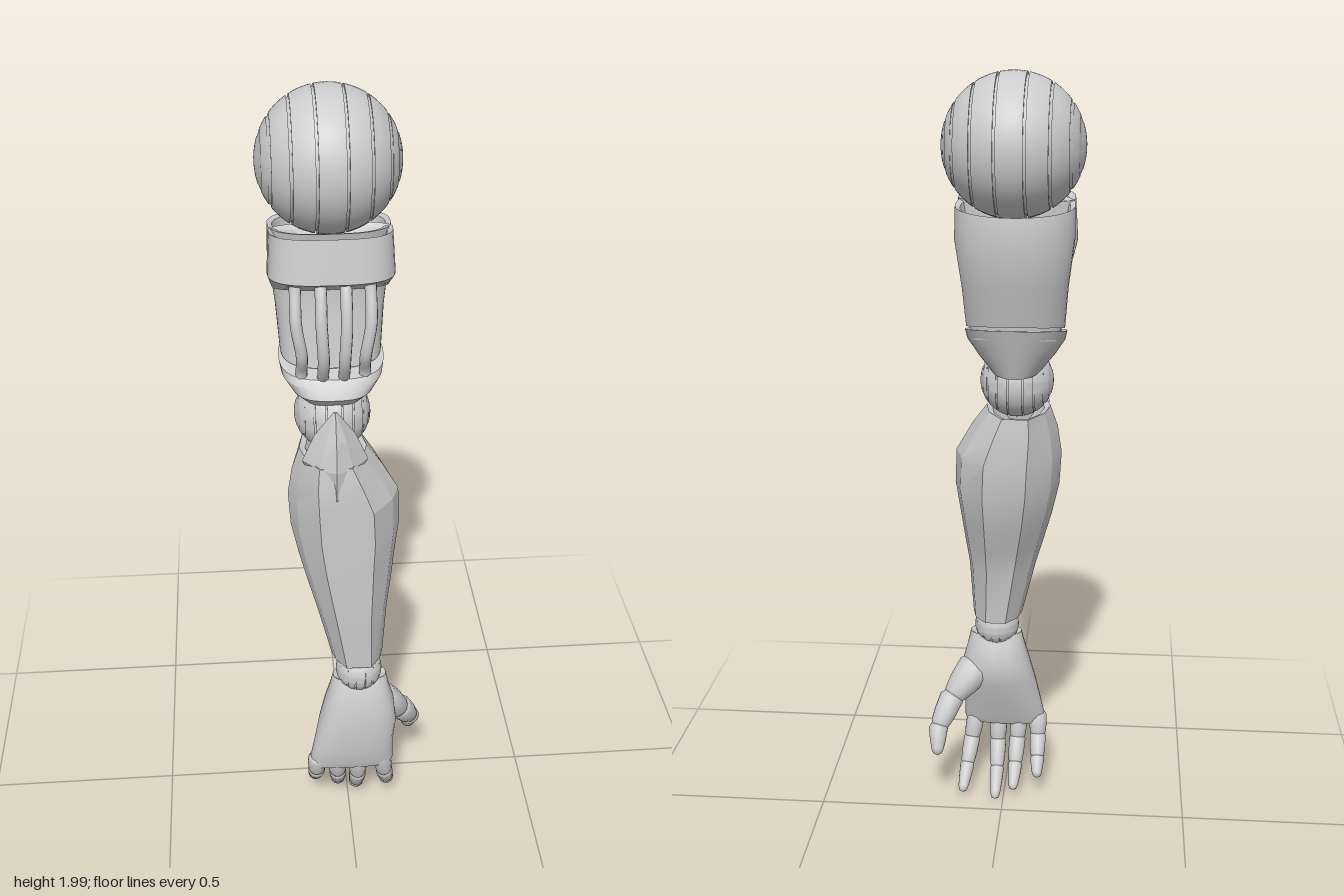
import * as THREE from 'three';
import { toCreasedNormals, mergeVertices } from 'three/addons/utils/BufferGeometryUtils.js';

const material = new THREE.MeshStandardMaterial({ color: 0xcccccc, side: THREE.DoubleSide });
const CX = -0.036; // axis of the upper arm

function addMesh(parent, name, geometry) {
  const mesh = new THREE.Mesh(geometry, material);
  mesh.name = name;
  parent.add(mesh);
  return mesh;
}

// Skin a stack of equal-length rings (bottom to top) and close both ends.
function loft(rings, crease = 0.5) {
  const n = rings[0].length, pos = [], idx = [];
  rings.forEach(r => r.forEach(p => pos.push(...p)));
  for (let i = 0; i < rings.length - 1; i++) {
    for (let j = 0; j < n; j++) {
      const a = i * n + j, b = i * n + (j + 1) % n;
      idx.push(a, b, b + n, a, b + n, a + n);
    }
  }
  [0, rings.length - 1].forEach((i, top) => {
    const c = pos.length / 3;
    pos.push(...[0, 1, 2].map(k => rings[i].reduce((s, p) => s + p[k] / n, 0)));
    for (let j = 0; j < n; j++) {
      const a = i * n + j, b = i * n + (j + 1) % n;
      top ? idx.push(c, a, b) : idx.push(c, b, a);
    }
  });
  const g = new THREE.BufferGeometry();
  g.setAttribute('position', new THREE.Float32BufferAttribute(pos, 3));
  g.setIndex(idx);
  return toCreasedNormals(g, crease);
}

// Tilted rounded ring; a squareness below 1 gives fuller corners at the front.
function ring({ x = CX, w, front, back, yf, yb = yf, mid = (front + back) / 2, sq = 0.7, n = 40 }) {
  return Array.from({ length: n }, (_, i) => {
    const a = i / n * Math.PI * 2, c = Math.cos(a), s = Math.sin(a);
    const e = s < 0 ? sq : 1;
    const px = x + w * Math.sign(c) * Math.abs(c) ** e;
    const z = s < 0 ? mid + (front - mid) * Math.abs(s) ** e : mid - (mid - back) * s;
    return [px, yb + (yf - yb) * (z - back) / (front - back), z];
  });
}

// Ball joint with sunken grooves around the x axis.
function groovedBall(r, cuts, half, depth) {
  const all = [...cuts.map(c => -c).reverse(), ...cuts];
  const pts = [];
  let start = -1;
  [...all, null].forEach(cut => {
    const end = cut === null ? 1 : cut - half;
    const a0 = Math.asin(start), a1 = Math.asin(end);
    for (let i = 0; i <= 6; i++) {
      const a = a0 + (a1 - a0) * i / 6;
      pts.push(new THREE.Vector2(Math.max(0, r * Math.cos(a)), r * Math.sin(a)));
    }
    if (cut === null) return;
    for (const u of [cut - half, cut + half]) {
      const a = Math.asin(u);
      pts.push(new THREE.Vector2(r * (1 - depth) * Math.cos(a), r * u));
    }
    start = cut + half;
  });
  const g = new THREE.LatheGeometry(pts, 56);
  g.rotateZ(-Math.PI / 2);
  return toCreasedNormals(g, 0.5);
}

// Jointed digit: rounded tapered segments along a path.
function digit(parent, name, path, radii) {
  const group = new THREE.Group();
  group.name = name;
  for (let i = 0; i < path.length - 1; i++) {
    const a = new THREE.Vector3(...path[i]), b = new THREE.Vector3(...path[i + 1]);
    const len = a.distanceTo(b), r0 = radii[i], r1 = radii[i + 1];
    const last = i === path.length - 2;
    const profile = [[0, -r0 * 0.6], [r0 * 0.7, -r0 * 0.45], [r0, 0], [(r0 + r1) / 2 * 1.02, len * 0.5],
      [r1 * (last ? 1.05 : 0.97), len * 0.85], [r1 * 0.75, len], [0, len + r1 * 0.35]];
    const g = new THREE.LatheGeometry(profile.map(p => new THREE.Vector2(...p)), 14);
    const m = addMesh(group, 'segment', mergeVertices(g));
    m.position.copy(a);
    m.quaternion.setFromUnitVectors(new THREE.Vector3(0, 1, 0), b.sub(a).normalize());
  }
  parent.add(group);
}

export function createModel() {
  const arm = new THREE.Group();
  arm.name = 'mechanicalArm';

  // Ball joints
  const joints = [
    ['shoulderBall', 0.171, [-0.034, 1.829, -0.053], [0.2, 0.53, 0.8, 0.93], 0.018, 0.04],
    ['elbowBall', 0.093, [CX, 1.232, 0.058], [0.2, 0.5, 0.76, 0.91], 0.02, 0.05],
    ['wristBall', 0.06, [0.024, 0.507, 0.155], [0.2, 0.55, 0.85], 0.03, 0.05],
  ];
  for (const [name, r, p, cuts, half, depth] of joints) {
    addMesh(arm, name, groovedBall(r, cuts, half, depth)).position.set(...p);
  }

  // Upper arm: cupped shell, front collar, and lower cap below a slanted seam
  addMesh(arm, 'upperArmShell', loft([
    ring({ yf: 1.365, yb: 1.405, w: 0.122, front: 0.09, back: -0.103 }),
    ring({ yf: 1.48, yb: 1.5, w: 0.13, front: 0.07, back: -0.13 }),
    ring({ yf: 1.62, yb: 1.605, w: 0.145, front: 0.06, back: -0.158 }),
    ring({ yf: 1.7, yb: 1.675, w: 0.144, front: 0.08, back: -0.15 }),
    ring({ yf: 1.695, yb: 1.67, w: 0.132, front: 0.065, back: -0.138 }),
    ring({ yf: 1.62, yb: 1.61, w: 0.12, front: 0.05, back: -0.125 }),
  ]));
  addMesh(arm, 'upperArmCollar', loft([
    ring({ yf: 1.555, yb: 1.55, w: 0.138, front: 0.062, back: -0.01, mid: 0.02 }),
    ring({ yf: 1.605, yb: 1.59, w: 0.149, front: 0.15, back: -0.02, mid: 0.04 }),
    ring({ yf: 1.708, yb: 1.69, w: 0.143, front: 0.132, back: -0.02, mid: 0.03 }),
    ring({ yf: 1.7, yb: 1.68, w: 0.13, front: 0.115, back: -0.01, mid: 0.03 }),
    ring({ yf: 1.66, yb: 1.65, w: 0.12, front: 0.09, back: 0, mid: 0.03 }),
  ]));
  addMesh(arm, 'upperArmSeam', loft([
    ring({ yf: 1.33, yb: 1.37, w: 0.113, front: 0.085, back: -0.09 }),
    ring({ yf: 1.38, yb: 1.42, w: 0.114, front: 0.08, back: -0.095 }),
  ]));
  addMesh(arm, 'upperArmCap', loft([
    ring({ yf: 1.275, yb: 1.262, w: 0.062, front: 0.12, back: -0.053 }),
    ring({ yf: 1.31, yb: 1.31, w: 0.098, front: 0.152, back: -0.07 }),
    ring({ yf: 1.335, yb: 1.36, w: 0.122, front: 0.14, back: -0.088 }),
    ring({ yf: 1.352, yb: 1.395, w: 0.127, front: 0.125, back: -0.1 }),
  ]));

  // Cables bowing out between collar and cap
  [-1.5, -0.5, 0.5, 1.5].forEach(k => {
    const x = CX + k * 0.058, s = CX + k * 0.05, d = Math.abs(k) > 1 ? -0.02 : 0;
    const curve = new THREE.CatmullRomCurve3([[x, 1.62, 0.09], [x, 1.575, 0.125 + d], [x, 1.5, 0.15 + d],
      [s, 1.42, 0.15 + d], [s, 1.37, 0.125 + d], [s, 1.34, 0.1]].map(p => new THREE.Vector3(...p)));
    addMesh(arm, 'cable', new THREE.TubeGeometry(curve, 24, 0.014, 12));
  });

  // Forearm: faceted section scaled along its length (y, left x, right x, back z, front z)
  const section = [[1, 0.1], [0.85, -0.5], [0.4, -1], [-0.4, -1], [-0.85, -0.5], [-1, 0.1],
    [-0.86, 0.5], [-0.48, 1], [0.48, 1], [0.86, 0.5]];
  const forearmRing = ([y, l, r, b, f]) => section.map(([u, v]) =>
    [(l + r) / 2 + u * (r - l) / 2, y, (b + f) / 2 + v * (f - b) / 2]);
  addMesh(arm, 'forearm', loft([
    [0.57, -0.02, 0.06, 0.09, 0.19], [0.55, -0.046, 0.087, 0.058, 0.212], [0.7, -0.083, 0.097, 0.045, 0.216],
    [0.77, -0.103, 0.107, 0.022, 0.217], [0.85, -0.125, 0.117, -0.012, 0.218], [0.94, -0.145, 0.129, -0.036, 0.218],
    [1.03, -0.15, 0.125, -0.044, 0.218], [1.1, -0.139, 0.085, -0.043, 0.217], [1.155, -0.12, 0.045, -0.038, 0.207],
    [1.15, -0.105, 0.03, -0.02, 0.185], [1.1, -0.08, 0.01, 0.01, 0.15],
  ].map(forearmRing), 0.28));

  // Pointed guard rising in front of the elbow
  const guardRing = ([y, w, b, f]) => [[1, 0.2], [0.6, 0], [-0.6, 0], [-1, 0.2], [-0.5, 0.75], [0, 1], [0.5, 0.75]]
    .map(([u, v]) => [CX + u * w, y, b + v * (f - b)]);
  addMesh(arm, 'elbowGuard', loft([
    [1.07, 0.03, 0.15, 0.219], [1.15, 0.08, 0.135, 0.222], [1.22, 0.05, 0.14, 0.207], [1.288, 0.004, 0.164, 0.172],
  ].map(guardRing), 0.2));

  // Hand: palm with its back to the front, hollowed toward the fingers
  const palm = [[0.195, -0.108, 0.112, 0.152, 0.203], [0.215, -0.11, 0.117, 0.142, 0.21], [0.27, -0.098, 0.116, 0.125, 0.217],
    [0.34, -0.083, 0.125, 0.095, 0.22], [0.4, -0.067, 0.118, 0.085, 0.215], [0.45, -0.053, 0.104, 0.1, 0.202],
    [0.487, -0.044, 0.096, 0.115, 0.186], [0.47, -0.02, 0.07, 0.13, 0.175]];
  addMesh(arm, 'palm', loft(palm.map(([y, l, r, back, front]) =>
    ring({ x: (l + r) / 2, w: (r - l) / 2, yf: y, back, front, n: 28 })), 0.9));

  // Fingers (knuckle x, tip x, tip y, tip z) and thumb
  [['littleFinger', -0.09, -0.093, 0.07, 0.085], ['ringFinger', -0.037, -0.027, 0.04, 0.065],
    ['middleFinger', 0.022, 0.022, 0.018, 0.05], ['indexFinger', 0.085, 0.114, 0.03, 0.06],
  ].forEach(([name, x, tx, ty, tz]) => {
    const at = (t, z) => [x + (tx - x) * t, 0.215 + (ty - 0.215) * t, z];
    digit(arm, name, [at(0, 0.18), at(0.4, 0.163), at(0.74, 0.12), at(1, tz)], [0.025, 0.023, 0.02, 0.013]);
  });
  digit(arm, 'thumb', [[0.085, 0.375, 0.135], [0.145, 0.305, 0.09], [0.178, 0.235, 0.045], [0.177, 0.175, 0.008]],
    [0.05, 0.034, 0.027, 0.016]);

  return arm;
}
